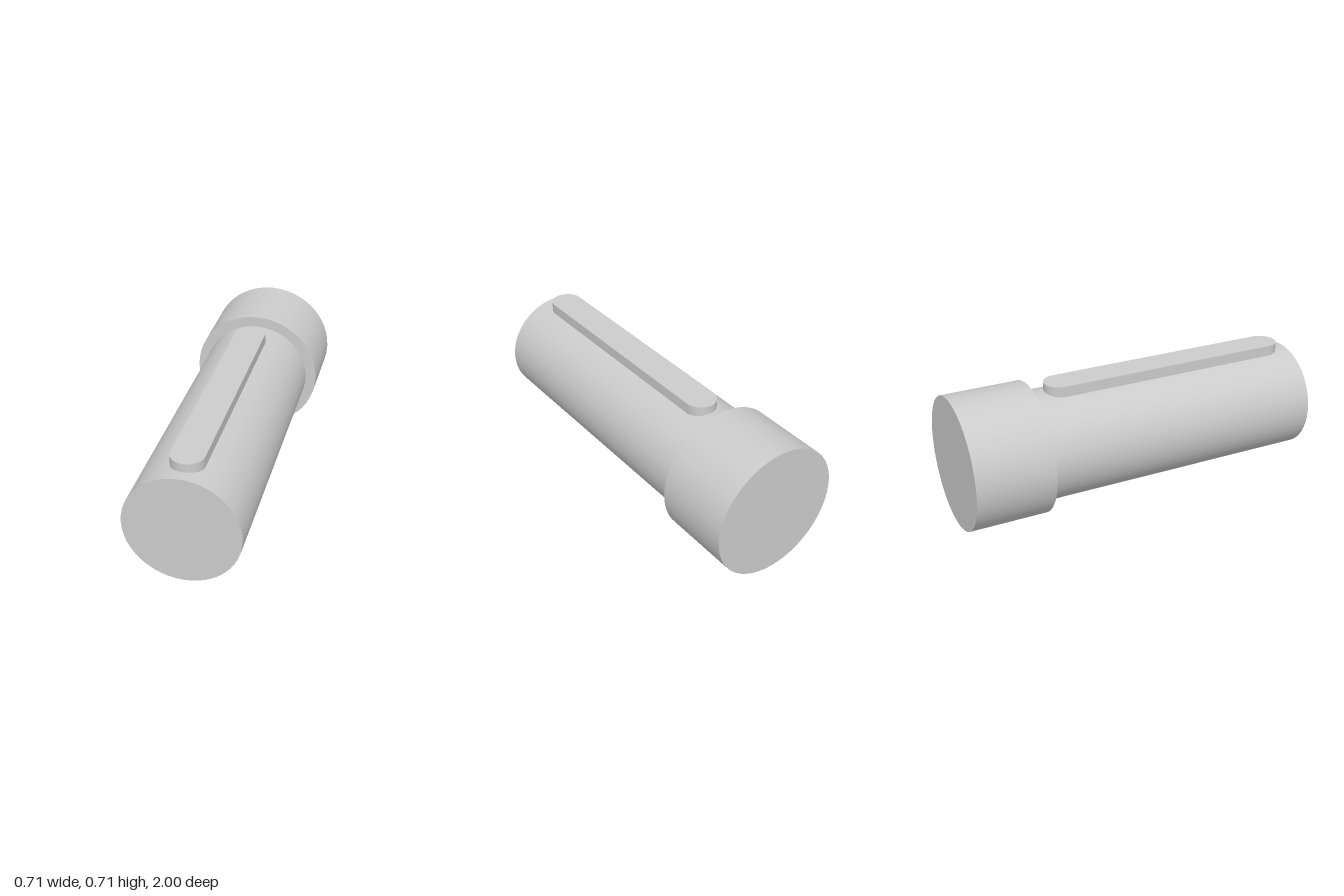
import * as THREE from 'three';
import { toCreasedNormals } from 'three/addons/utils/BufferGeometryUtils.js';

const AXIS_Y = 0.357;
const material = new THREE.MeshStandardMaterial({ color: 0xcccccc });

// Solid round bar lying along z between two depths
function roundBar(name, radius, zBack, zFront) {
  const geometry = new THREE.CylinderGeometry(radius, radius, zFront - zBack, 48);
  geometry.rotateX(Math.PI / 2);
  geometry.translate(0, AXIS_Y, (zBack + zFront) / 2);
  const mesh = new THREE.Mesh(geometry, material);
  mesh.name = name;
  return mesh;
}

// Round-ended key, upright sides, with its foot sunk into the shaft
function featherKey(halfWidth, zBack, zFront, yBottom, yTop) {
  const shape = new THREE.Shape();
  shape.absarc(0, -zBack - halfWidth, halfWidth, 0, Math.PI, false);
  shape.absarc(0, -zFront + halfWidth, halfWidth, Math.PI, 2 * Math.PI, false);
  shape.closePath();
  const extruded = new THREE.ExtrudeGeometry(shape, {
    depth: yTop - yBottom, bevelEnabled: false, curveSegments: 16,
  });
  extruded.rotateX(-Math.PI / 2);
  extruded.translate(0, yBottom, 0);
  const mesh = new THREE.Mesh(toCreasedNormals(extruded, Math.PI / 6), material);
  mesh.name = 'key';
  return mesh;
}

export function createModel() {
  const group = new THREE.Group();
  group.name = 'keyedShaft';
  group.add(
    roundBar('shaft', 0.298, -0.58, 1),
    roundBar('collar', 0.357, -1, -0.575),
    featherKey(0.085, -0.485, 0.94, 0.62, 0.7),
  );
  return group;
}
